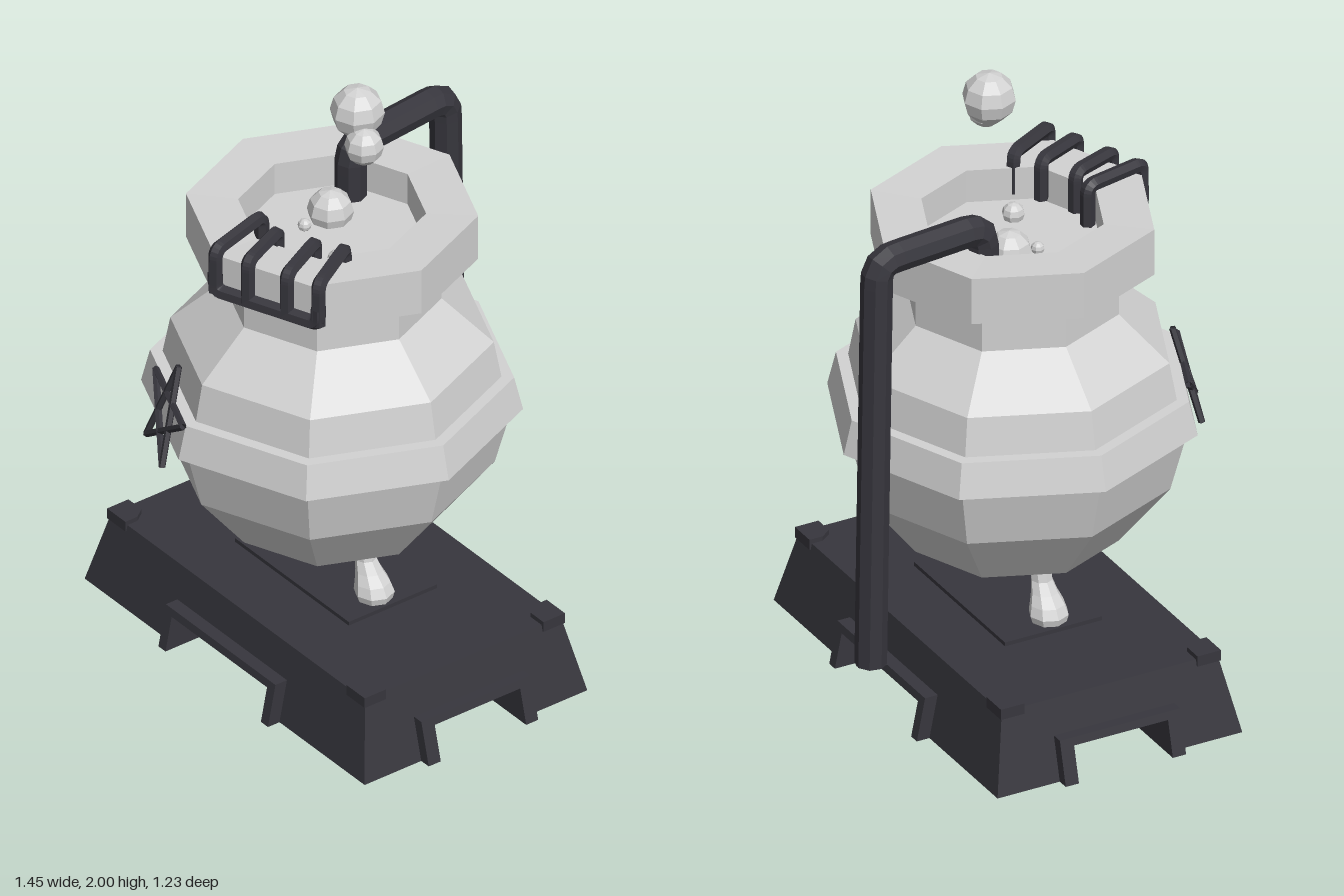
import * as THREE from 'three';

const light = new THREE.MeshStandardMaterial({ color: 0xd2d2d2, flatShading: true, side: THREE.DoubleSide });
light.name = 'paleGrey';
const dark = new THREE.MeshStandardMaterial({ color: 0x37363d, flatShading: true, side: THREE.DoubleSide });
dark.name = 'charcoal';

const V = (x, y, z) => new THREE.Vector3(x, y, z);

function add(parent, name, geo, mat, x = 0, y = 0, z = 0) {
  const m = new THREE.Mesh(geo, mat);
  m.name = name;
  m.position.set(x, y, z);
  parent.add(m);
  return m;
}

// Pipe along straight segments with short rounded corners
function pipe(points, radius, bend, sides = 8) {
  const path = new THREE.CurvePath();
  let from = points[0];
  for (let i = 1; i < points.length - 1; i++) {
    const p = points[i];
    const a = p.clone().add(points[i - 1].clone().sub(p).setLength(bend));
    const b = p.clone().add(points[i + 1].clone().sub(p).setLength(bend));
    path.add(new THREE.LineCurve3(from, a));
    path.add(new THREE.QuadraticBezierCurve3(a, p, b));
    from = b;
  }
  path.add(new THREE.LineCurve3(from, points[points.length - 1]));
  return new THREE.TubeGeometry(path, 60, radius, sides, false);
}

// Box between limits whose chosen outer faces lean inwards with height
function leaningBox(x0, x1, y0, y1, z0, z1, outerX, outerZ) {
  const g = new THREE.BoxGeometry(x1 - x0, y1 - y0, z1 - z0);
  g.translate((x0 + x1) / 2, (y0 + y1) / 2, (z0 + z1) / 2);
  const p = g.attributes.position;
  for (let i = 0; i < p.count; i++) {
    const x = p.getX(i), y = p.getY(i), z = p.getZ(i);
    if (Math.abs(x) > outerX - 0.001) p.setX(i, x - Math.sign(x) * 0.26 * y);
    if (Math.abs(z) > outerZ - 0.001) p.setZ(i, z - Math.sign(z) * 0.2 * y);
  }
  g.computeVertexNormals();
  return g;
}

function buildBase() {
  const base = new THREE.Group();
  base.name = 'base';
  base.position.z = 0.013;
  const X = 0.69, Z = 0.417, H = 0.25, N = 0.115, nx = 0.235, nz = 0.16;
  add(base, 'baseSlab', leaningBox(-X, X, N, H, -Z, Z, X, Z), dark);
  add(base, 'topPlate', new THREE.BoxGeometry(0.56, 0.02, 0.33), dark, 0, 0.253, 0);

  for (const sx of [-1, 1]) for (const sz of [-1, 1]) {
    const span = (s, a, b) => (s > 0 ? [a, b] : [-b, -a]);
    const [x0, x1] = span(sx, nx, X), [z0, z1] = span(sz, nz, Z);
    add(base, 'cornerFoot', leaningBox(x0, x1, 0, N, z0, z1, X, Z), dark);
    // Raised corner cap with one cut corner
    const cap = new THREE.Shape([[0.635, 0.375], [0.545, 0.375], [0.545, 0.33], [0.57, 0.295], [0.635, 0.295]]
      .map(([x, z]) => new THREE.Vector2(sx * x, sz * z)));
    const capGeo = new THREE.ExtrudeGeometry(cap, { depth: 0.035, bevelEnabled: false });
    capGeo.rotateX(Math.PI / 2);
    add(base, 'cornerCap', capGeo, dark, 0, 0.265, 0);
    // Jambs of the raised surrounds beside each opening
    const [ax, bx] = span(sx, 0.6, 0.727), [az, bz] = span(sz, nz, 0.205);
    add(base, 'sideJamb', leaningBox(ax, bx, 0, 0.14, az, bz, 0.727, 9), dark);
    const [cx, dx] = span(sx, nx, 0.27), [cz, dz] = span(sz, 0.35, 0.46);
    add(base, 'endJamb', leaningBox(cx, dx, 0, 0.14, cz, dz, 9, 0.46), dark);
  }
  // Lintels above the openings
  for (const s of [-1, 1]) {
    const a = s > 0 ? [0.6, 0.727] : [-0.727, -0.6], b = s > 0 ? [0.35, 0.46] : [-0.46, -0.35];
    add(base, 'sideLintel', leaningBox(a[0], a[1], N, 0.14, -nz, nz, 0.727, 9), dark);
    add(base, 'endLintel', leaningBox(-nx, nx, N, 0.14, b[0], b[1], 9, 0.46), dark);
  }
  return base;
}

function buildPot() {
  const pot = new THREE.Group();
  pot.name = 'pot';
  pot.position.set(0.003, 0, 0.03);
  const profile = [[0, 0.45], [0.33, 0.475], [0.49, 0.677], [0.542, 0.873], [0.575, 0.873], [0.548, 0.984],
    [0.51, 0.984], [0.487, 1.106], [0.33, 1.249], [0.33, 1.402], [0.44, 1.402], [0.44, 1.556],
    [0.283, 1.55], [0.283, 1.44]].map(([r, y]) => new THREE.Vector2(r, y));
  add(pot, 'potBody', new THREE.LatheGeometry(profile, 8), light);
  const surface = new THREE.CircleGeometry(0.284, 8);
  surface.rotateX(-Math.PI / 2);
  add(pot, 'liquid', surface, light, 0, 1.442, 0);
  return pot;
}

// Curved leg from rings of changing radius, ending in a bulbous foot
function buildLeg(side) {
  const rings = [[0.15, 0.5, 0.05], [0.158, 0.44, 0.036], [0.172, 0.38, 0.033], [0.19, 0.345, 0.042],
    [0.207, 0.315, 0.054], [0.215, 0.285, 0.062], [0.216, 0.258, 0.054]];
  const g = new THREE.CylinderGeometry(1, 1, 1, 8, rings.length - 1);
  const p = g.attributes.position;
  for (let i = 0; i < p.count; i++) {
    const [x, y, r] = rings[Math.round((0.5 - p.getY(i)) * (rings.length - 1))];
    p.setXYZ(i, side * x + p.getX(i) * r, y, p.getZ(i) * r);
  }
  g.computeVertexNormals();
  return g;
}

export function createModel() {
  const model = new THREE.Group();
  model.name = 'cauldron';
  model.add(buildBase(), buildPot());
  for (const s of [-1, 1]) add(model, 'leg', buildLeg(s), light, 0, 0, 0.033);

  // Bubbles rising from the pot
  for (const [x, y, z, r] of [[0.075, 1.917, -0.01, 0.083], [0.145, 1.84, 0.018, 0.06],
    [-0.08, 1.47, -0.027, 0.071], [0.134, 1.46, 0.105, 0.035], [-0.08, 1.455, 0.07, 0.021]]) {
    add(model, 'bubble', new THREE.SphereGeometry(r, 8, 6), light, x, y, z);
  }

  // Drain pipe over the back of the rim
  add(model, 'drainPipe', pipe([V(-0.142, 1.44, -0.15), V(-0.142, 1.62, -0.15), V(-0.183, 1.62, -0.535),
    V(-0.19, 0.26, -0.56)], 0.049, 0.06), dark);
  const cap = new THREE.CircleGeometry(0.049, 8);
  cap.rotateX(Math.PI / 2);
  add(model, 'pipeEnd', cap, dark, -0.19, 0.262, -0.56);

  // Four-pronged rack hooked over the front of the rim
  const rack = new THREE.Group();
  rack.name = 'rack';
  const outer = [[0.02, 0.48], [0.125, 0.438], [0.25, 0.387], [0.35, 0.345]];
  const inner = [[-0.035, 0.265], [0.057, 0.275], [0.17, 0.22], [0.25, 0.17]];
  outer.forEach(([x, z], i) => {
    const [u, w] = inner[i];
    add(rack, 'prong', pipe([V(x, 1.44, z), V(x, 1.585, z), V(u, 1.592, w), V(u, 1.46, w)], 0.023, 0.03, 6), dark);
  });
  add(rack, 'rackBar', pipe([V(0.02, 1.5, 0.48), V(0.02, 1.443, 0.48), V(0.35, 1.443, 0.345),
    V(0.35, 1.5, 0.345)], 0.025, 0.03, 6), dark);
  model.add(rack);

  // Five-pointed star of thin bars leaning against one facet
  const star = new THREE.Group();
  star.name = 'star';
  const tips = [[-0.135, 1.09], [0.003, 0.985], [-0.07, 0.81], [-0.24, 0.81], [-0.293, 0.985]].map(([x, y]) => {
    const d = 0.515 - (y - 0.985) * 0.28;
    return V(x, y, 0.03 + (d + 0.383 * x) / 0.924);
  });
  for (let i = 0; i < 5; i++) {
    const bar = new THREE.TubeGeometry(new THREE.LineCurve3(tips[i], tips[(i + 2) % 5]), 1, 0.011, 5);
    add(star, 'starBar', bar, dark);
  }
  model.add(star);
  return model;
}
